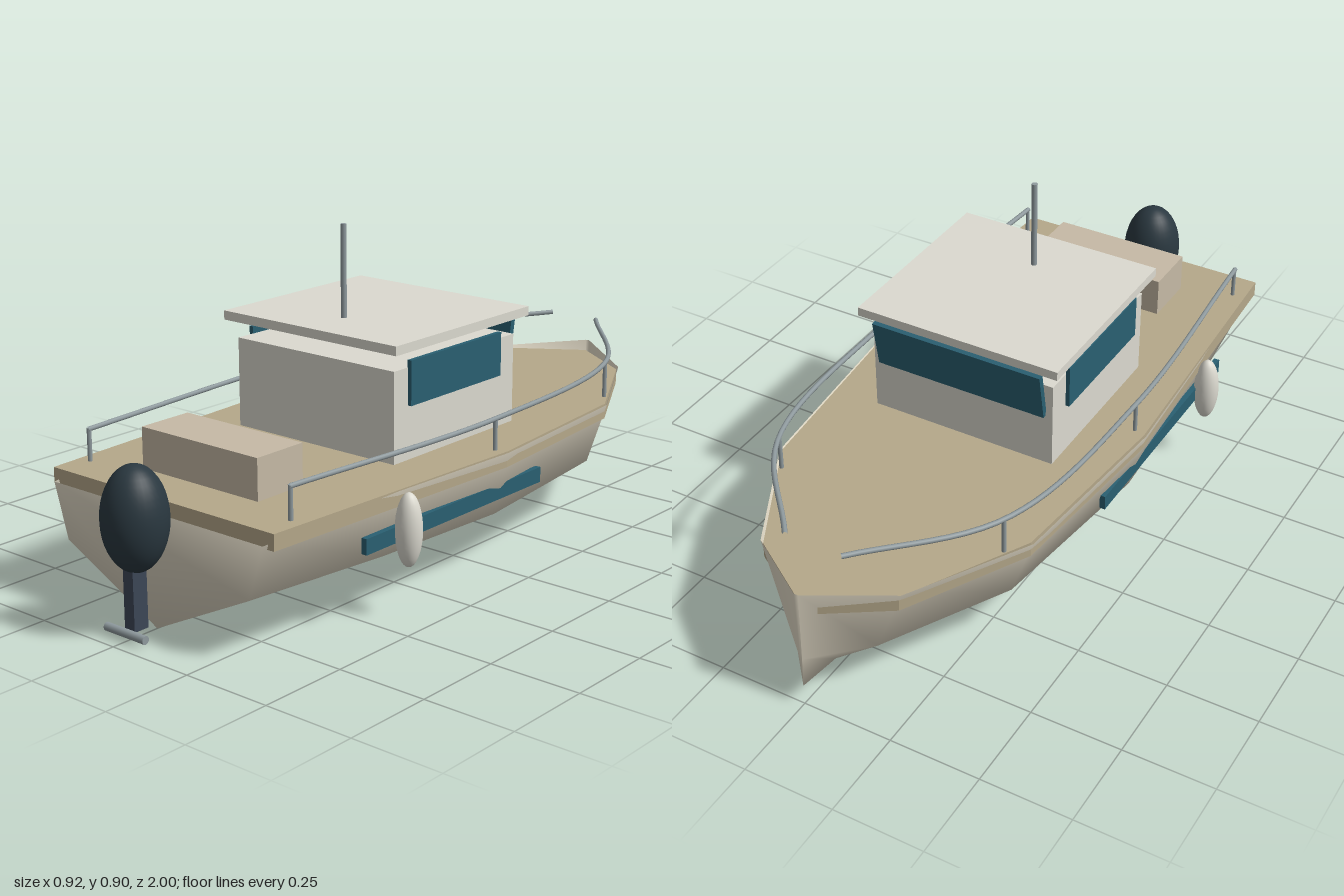
import * as THREE from 'three';

const mat = (color, extra = {}) => new THREE.MeshStandardMaterial({ color, ...extra });

export function createModel() {
  const boat = new THREE.Group();
  boat.name = 'boat';
  const cream = mat(0xe6deca, { side: THREE.DoubleSide });
  const tan = mat(0xb5a88a);
  const white = mat(0xdcdad0);
  const glass = mat(0x2a6072);
  const metal = mat(0x8f9a9e);
  const dark = mat(0x2a3840);
  const leg = mat(0x3c4656);
  const locker = mat(0xc6baa6);

  const add = (name, geometry, material, x = 0, y = 0, z = 0) => {
    const mesh = new THREE.Mesh(geometry, material);
    mesh.name = name;
    mesh.position.set(x, y, z);
    boat.add(mesh);
    return mesh;
  };
  const box = (name, w, h, d, material, x, y, z) =>
    add(name, new THREE.BoxGeometry(w, h, d), material, x, y, z);

  // Hull: V sections from transom to stem
  // [z, keel y, chine x, chine y, sheer x, sheer y]
  const stations = [
    [0.855, 0.0, 0.315, 0.155, 0.36, 0.3],
    [0.42, 0.0, 0.36, 0.15, 0.405, 0.328],
    [0.0, 0.0, 0.385, 0.15, 0.43, 0.328],
    [-0.53, 0.005, 0.32, 0.15, 0.382, 0.328],
    [-0.86, 0.035, 0.13, 0.14, 0.205, 0.338],
    [-1.0, 0.06, 0.003, 0.15, 0.006, 0.36],
  ];
  const pos = [], idx = [];
  for (const [z, ky, cx, cy, sx, sy] of stations) {
    pos.push(-sx, sy, z, -cx, cy, z, 0, ky, z, cx, cy, z, sx, sy, z);
  }
  const n = 5;
  for (let i = 0; i < stations.length - 1; i++) {
    for (let j = 0; j < n - 1; j++) {
      const a = i * n + j, b = a + 1, c = a + n, d = c + 1;
      idx.push(a, c, b, b, c, d);
    }
  }
  // Transom and stem caps
  const last = (stations.length - 1) * n;
  for (let j = 1; j < n - 1; j++) {
    idx.push(0, j, j + 1);
    idx.push(last, last + j + 1, last + j);
  }
  const hull = new THREE.BufferGeometry();
  hull.setAttribute('position', new THREE.Float32BufferAttribute(pos, 3));
  hull.setIndex(idx);
  hull.computeVertexNormals();
  add('hull', hull, cream);

  // Deck slab with pointed bow
  const half = [[0.38, 0.838], [0.424, 0], [0.375, -0.53], [0.198, -0.86]];
  const outline = [
    ...half,
    [0, -0.99],
    ...half.map(([x, z]) => [-x, z]).reverse(),
  ].map(([x, z]) => new THREE.Vector2(x, -z));
  const deck = new THREE.ExtrudeGeometry(new THREE.Shape(outline), { depth: 0.043, bevelEnabled: false });
  deck.rotateX(-Math.PI / 2);
  add('deck', deck, tan, 0, 0.287, 0);

  // Wheelhouse, raised roof and mast
  box('cabin', 0.54, 0.245, 0.505, white, 0, 0.4525, 0.0225);
  box('roof', 0.594, 0.025, 0.56, white, 0, 0.6375, 0.02);
  const windshield = box('windshield', 0.5, 0.14, 0.016, glass, 0, 0.55, -0.246);
  windshield.rotation.x = -0.18;
  add('mast', new THREE.CylinderGeometry(0.008, 0.008, 0.25, 12), metal, 0, 0.775, 0.155);

  box('sternLocker', 0.398, 0.11, 0.16, locker, 0, 0.385, 0.62);

  // Outboard motor
  add('motorCowl', new THREE.SphereGeometry(1, 32, 20), dark, 0, 0.302, 0.915).scale.set(0.084, 0.136, 0.085);
  box('motorLeg', 0.034, 0.24, 0.045, leg, 0, 0.142, 0.922);
  const prop = add('propeller', new THREE.CylinderGeometry(0.011, 0.011, 0.136, 12), metal, 0, 0.021, 0.957);
  prop.rotation.z = Math.PI / 2;

  // Parts mirrored on both sides
  for (const s of [1, -1]) {
    const side = s > 0 ? 'left' : 'right';
    box(side + 'Window', 0.012, 0.12, 0.38, glass, s * 0.275, 0.535, 0.03);
    box(side + 'HullStripe', 0.016, 0.042, 0.72, glass, s * 0.396, 0.217, 0.18);
    add(side + 'Fender', new THREE.SphereGeometry(1, 20, 16), white, s * 0.425, 0.229, 0.405)
      .scale.set(0.035, 0.097, 0.035);

    const path = new THREE.CatmullRomCurve3([
      [0.347, 0.415, 0.75], [0.392, 0.415, 0.01], [0.333, 0.431, -0.59], [0.08, 0.453, -0.92],
    ].map(([x, y, z]) => new THREE.Vector3(s * x, y, z)));
    add(side + 'Rail', new THREE.TubeGeometry(path, 40, 0.007, 8), metal);
    for (const [x, top, z] of [[0.347, 0.418, 0.745], [0.392, 0.418, 0.01], [0.333, 0.431, -0.59]]) {
      add(side + 'RailPost', new THREE.CylinderGeometry(0.006, 0.006, top - 0.325, 8), metal,
        s * x, (top + 0.325) / 2, z);
    }
  }
  return boat;
}
